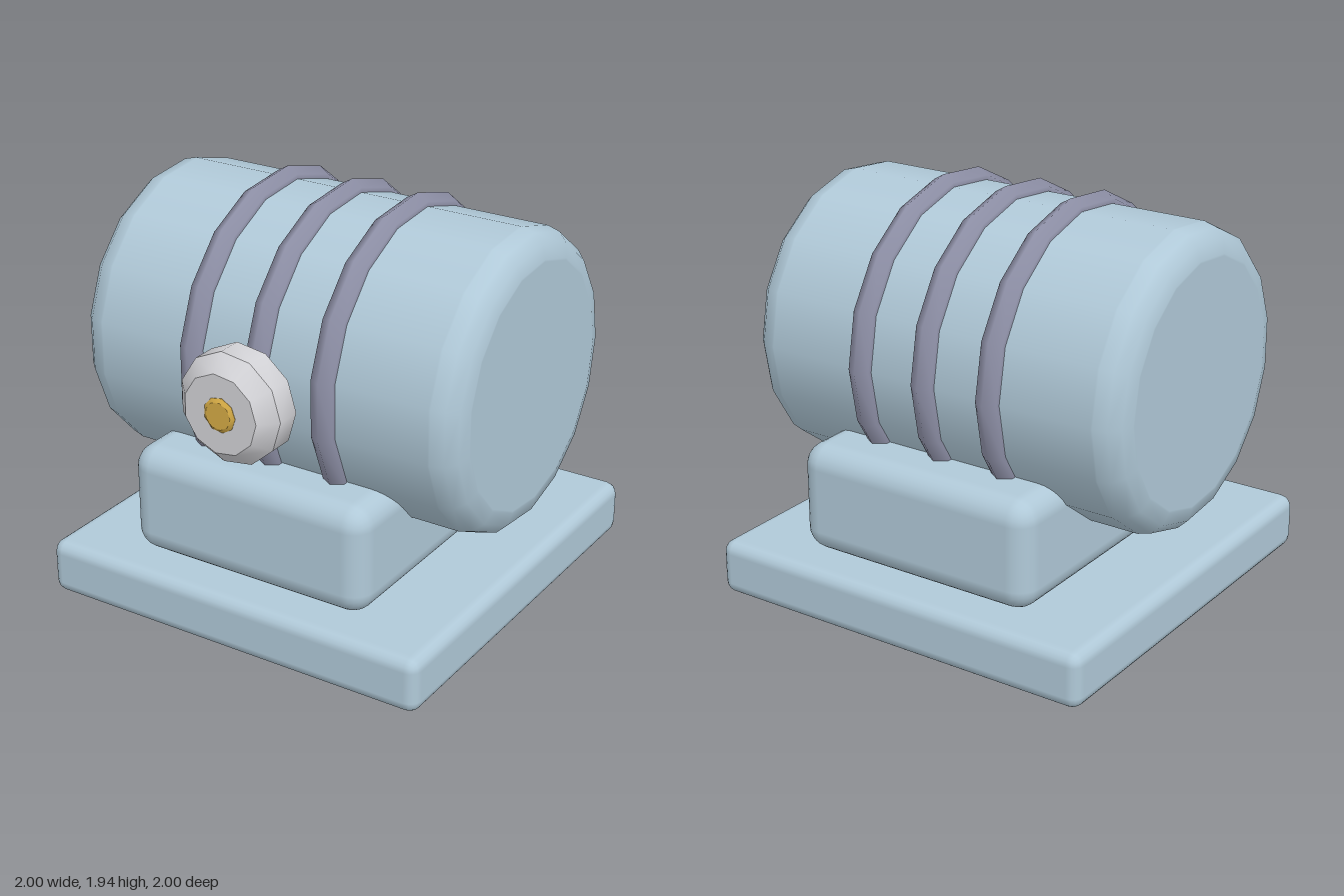
import * as THREE from 'three';
import { toCreasedNormals } from 'three/addons/utils/BufferGeometryUtils.js';
import { RoundedBoxGeometry } from 'three/addons/geometries/RoundedBoxGeometry.js';

const material = (name, color) => {
  const m = new THREE.MeshStandardMaterial({ color });
  m.name = name;
  return m;
};

// Profile points are [radius, height along the axis]
const lathe = (points, sides, start) =>
  new THREE.LatheGeometry(points.map(([r, h]) => new THREE.Vector2(r, h)), sides, start);

export function createModel() {
  const model = new THREE.Group();
  model.name = 'drumOnStand';
  const blue = material('paleBlue', 0xb0c9d8);
  const slate = material('slateGrey', 0x8f91a8);
  const silver = material('silver', 0xd2d2d6);
  const brass = material('brass', 0xd4aa45);
  const axisY = 1.18;

  const add = (name, geometry, mat, x, y, z) => {
    const mesh = new THREE.Mesh(geometry, mat);
    mesh.name = name;
    mesh.position.set(x, y, z);
    model.add(mesh);
    return mesh;
  };

  // Base slab and the cradle block on it
  add('base', new RoundedBoxGeometry(2, 0.27, 2, 2, 0.06), blue, 0, 0.135, 0);
  add('cradle', new RoundedBoxGeometry(1.265, 0.53, 1.69, 3, 0.11), blue, 0, 0.535, 0);

  // Drum lying along x, with rounded rims and flat ends
  const rim = [[0, 1], [0.575, 1], [0.585, 1], [0.648, 0.983], [0.693, 0.937], [0.71, 0.875], [0.71, 0.865]];
  const profile = [...rim.map(([r, h]) => [r, -h]), ...rim.slice().reverse()];
  add('drum', lathe(profile, 17, Math.PI), blue, 0, axisY, 0).rotation.z = -Math.PI / 2;

  // Three hoops around the drum
  for (const x of [-0.348, 0, 0.348]) {
    add('hoop', new THREE.TorusGeometry(0.7, 0.064, 6, 17), slate, x, axisY, 0).rotation.y = Math.PI / 2;
  }

  // Bevelled knob on the front with a small button
  const knob = lathe([[0, 0.7], [0.19, 0.71], [0.265, 0.79], [0.265, 0.91], [0.19, 0.985], [0, 0.985]], 11, Math.PI / 2);
  add('knob', toCreasedNormals(knob, 0.65), silver, 0, axisY, 0).rotation.x = Math.PI / 2;
  const button = lathe([[0, 0.95], [0.083, 0.95], [0.083, 0.987], [0.065, 1], [0, 1]], 9, Math.PI / 2);
  add('button', toCreasedNormals(button, 0.5), brass, 0, axisY, 0).rotation.x = Math.PI / 2;

  return model;
}
